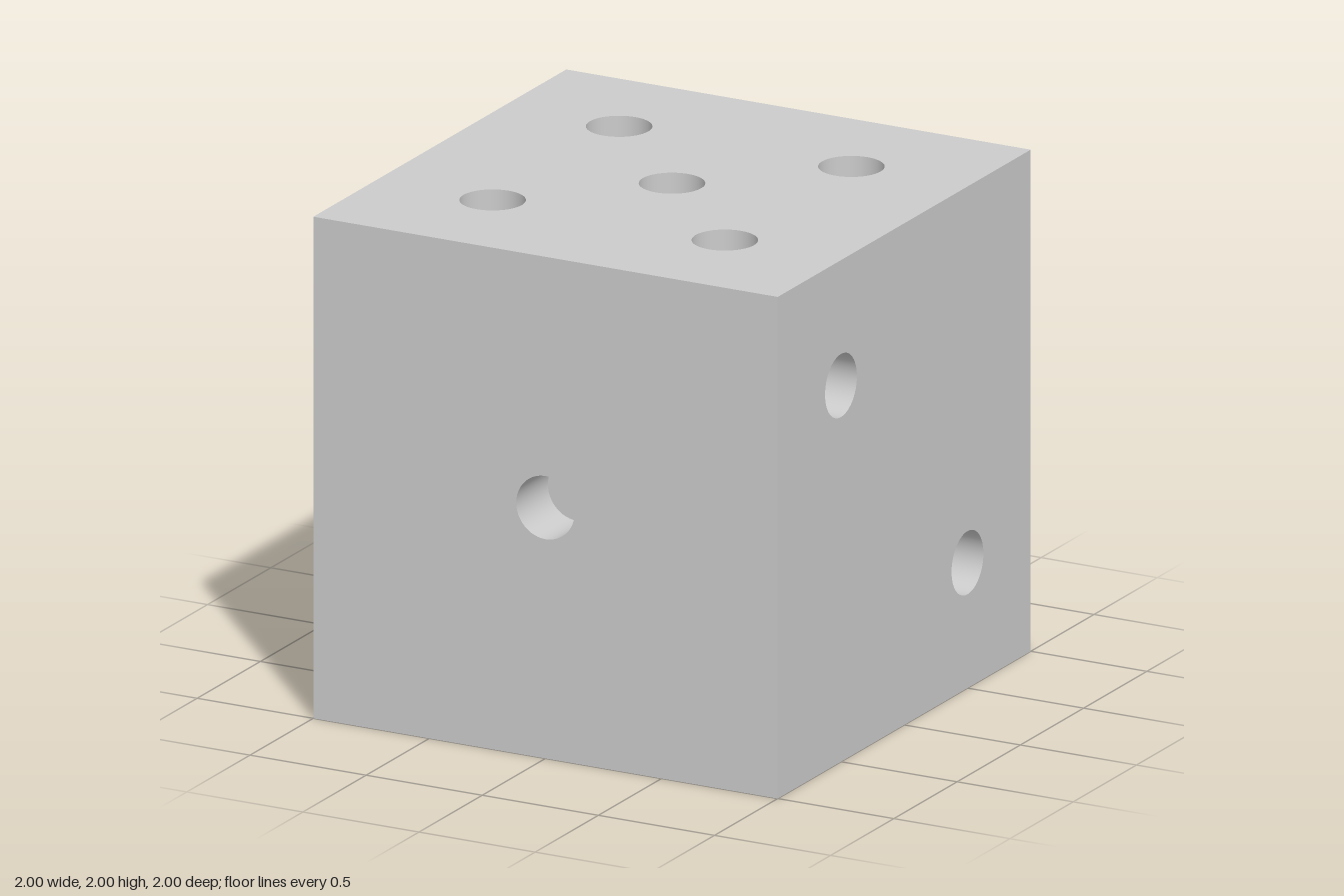
import * as THREE from 'three';

const HALF = 1;       // half of the cube's edge
const RADIUS = 0.126; // pip radius
const DEPTH = 0.25;   // pip depth
const SEGMENTS = 48;

const material = new THREE.MeshStandardMaterial({ color: 0xcccccc });

function addMesh(parent, name, geometry) {
  const mesh = new THREE.Mesh(geometry, material);
  mesh.name = name;
  parent.add(mesh);
}

// One cube side facing +z, with a drilled round hole at each [u, v] pip
function createSide(name, pips) {
  const side = new THREE.Group();
  side.name = name;

  const square = new THREE.Shape([
    new THREE.Vector2(-HALF, -HALF), new THREE.Vector2(HALF, -HALF),
    new THREE.Vector2(HALF, HALF), new THREE.Vector2(-HALF, HALF),
  ]);
  for (const [u, v] of pips) {
    square.holes.push(new THREE.Path().absarc(u, v, RADIUS, 0, Math.PI * 2, true));
  }
  addMesh(side, 'facePanel', new THREE.ShapeGeometry(square, SEGMENTS / 2).translate(0, 0, HALF));

  for (const [u, v] of pips) {
    // Profile runs from mouth to floor so the wall faces inwards
    const profile = [new THREE.Vector2(RADIUS, HALF), new THREE.Vector2(RADIUS, HALF - DEPTH)];
    const wall = new THREE.LatheGeometry(profile, SEGMENTS).rotateX(Math.PI / 2).translate(u, v, 0);
    addMesh(side, 'pipWall', wall);
    addMesh(side, 'pipFloor', new THREE.CircleGeometry(RADIUS, SEGMENTS).translate(u, v, HALF - DEPTH));
  }
  return side;
}

export function createModel() {
  const die = new THREE.Group();
  die.name = 'die';

  // Pip patterns
  const p = 0.5;
  const one = [[0, 0]];
  const two = [[-p, p], [p, -p]];
  const three = [...two, ...one];
  const four = [...two, [p, p], [-p, -p]];
  const five = [...four, ...one];
  const six = [...four, [-p, 0], [p, 0]];

  // Name, pips, rotation about x, rotation about y
  const quarter = Math.PI / 2;
  const sides = [
    ['frontSide', one, 0, 0],
    ['leftSide', two, 0, quarter],
    ['backSide', three, 0, 2 * quarter],
    ['rightSide', four, 0, -quarter],
    ['topSide', five, -quarter, 0],
    ['bottomSide', six, quarter, 0],
  ];
  for (const [name, pips, rx, ry] of sides) {
    const side = createSide(name, pips);
    side.rotation.set(rx, ry, 0);
    side.position.y = HALF;
    die.add(side);
  }
  return die;
}
